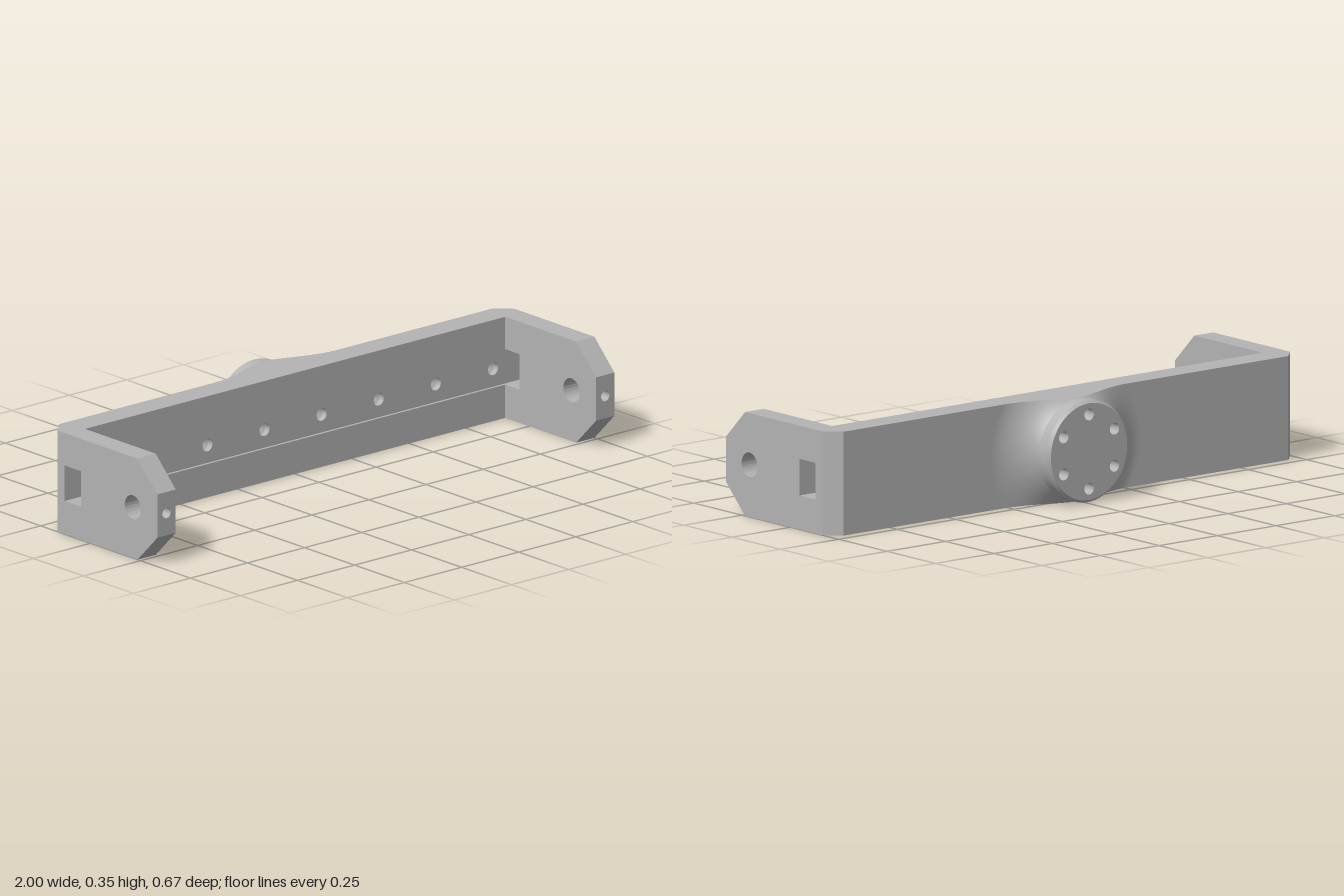
import * as THREE from 'three';
import { mergeGeometries, toCreasedNormals } from 'three/addons/utils/BufferGeometryUtils.js';

const grey = new THREE.MeshStandardMaterial({ color: 0xb4b4b4, side: THREE.DoubleSide });
grey.name = 'grey metal';

const H = 0.35, MID = 0.175;

function polygon(points) {
  return new THREE.Shape(points.map(([x, y]) => new THREE.Vector2(x, y)));
}

function circle(x, y, r) {
  return new THREE.Path().absarc(x, y, r, 0, Math.PI * 2, true);
}

function rect(x0, y0, x1, y1) {
  return polygon([[x0, y0], [x1, y0], [x1, y1], [x0, y1]]);
}

function extrude(shape, depth) {
  return new THREE.ExtrudeGeometry(shape, { depth, bevelEnabled: false, curveSegments: 24 });
}

// Removes the triangles whose three corners all meet the test
function dropFaces(geometry, test) {
  const p = geometry.attributes.position, kept = [];
  for (let i = 0; i < p.count; i += 3) {
    if ([i, i + 1, i + 2].every(k => test(p.getZ(k)))) continue;
    for (let k = i; k < i + 3; k++) kept.push(p.getX(k), p.getY(k), p.getZ(k));
  }
  const g = new THREE.BufferGeometry();
  g.setAttribute('position', new THREE.Float32BufferAttribute(kept, 3));
  g.computeVertexNormals();
  return toCreasedNormals(g, 0.5);
}

// Blind drilled hole with a conical floor; dir is -1 to go towards -z, 1 towards +z
function drill(r, depth, dir) {
  const tip = r * 0.6;
  const wall = new THREE.CylinderGeometry(r, r, depth, 24, 1, true).translate(0, -depth / 2, 0);
  const floor = new THREE.ConeGeometry(r, tip, 24, 1, true).rotateX(Math.PI).translate(0, -depth - tip / 2, 0);
  return mergeGeometries([wall, floor]).rotateX(-dir * Math.PI / 2);
}

// Concave flare profile: z of the back surface at distance r from the boss axis
const BOSS_R = 0.172, FLARE_R = 0.32, ARC = 0.1915;
function flareZ(r) {
  const d = Math.max(0, FLARE_R - r);
  return -0.215 - (ARC - Math.sqrt(ARC * ARC - d * d));
}

// Flare around the boss, cut off flush with the top and bottom of the bar
function flareSurface() {
  const N = 128, M = 16, pos = [], nor = [], idx = [];
  for (let i = 0; i <= N; i++) {
    const a = i / N * Math.PI * 2, c = Math.cos(a), s = Math.sin(a);
    const rMax = Math.min(FLARE_R, MID / Math.max(Math.abs(s), 1e-6));
    for (let j = 0; j <= M; j++) {
      const r = BOSS_R + (rMax - BOSS_R) * j / M;
      pos.push(r * c, MID + r * s, flareZ(r));
      const d = (FLARE_R - r) / ARC;
      nor.push(c * d, s * d, -Math.sqrt(1 - d * d));
      if (i < N && j < M) {
        const k = i * (M + 1) + j, n = k + M + 1;
        idx.push(k, n, k + 1, n, n + 1, k + 1);
      }
    }
  }
  const g = new THREE.BufferGeometry();
  g.setAttribute('position', new THREE.Float32BufferAttribute(pos, 3));
  g.setAttribute('normal', new THREE.Float32BufferAttribute(nor, 3));
  g.setIndex(idx);
  return g;
}

export function createModel() {
  const model = new THREE.Group();
  model.name = 'bracket';
  const add = (name, geometry, x = 0, y = 0, z = 0) => {
    const mesh = new THREE.Mesh(geometry, grey);
    mesh.name = name;
    mesh.position.set(x, y, z);
    model.add(mesh);
    return mesh;
  };

  // Back of the crossbar, with chamfered outer corners
  const back = polygon([[-1, -0.165], [-0.95, -0.215], [0.95, -0.215], [1, -0.165]]);
  add('crossbarBack', extrude(back, H).rotateX(Math.PI / 2), 0, H, 0);

  // Front of the crossbar: a shallow groove with a row of drilled holes
  const plate = rect(-0.92, 0, 0.92, H);
  for (let i = 0; i < 8; i++) {
    const x = -0.875 + i * 0.25;
    plate.holes.push(circle(x, 0.177, 0.022));
    add('grooveHole', drill(0.022, 0.021, -1), x, 0.177, -0.13);
  }
  add('crossbarFront', toCreasedNormals(extrude(plate, 0.035), 0.5), 0, 0, -0.165);
  for (const [y0, y1] of [[0, 0.115], [0.238, H]]) {
    add('grooveRail', new THREE.BoxGeometry(1.84, y1 - y0, 0.01), 0, (y0 + y1) / 2, -0.125);
  }

  // Side arms with a round pivot hole, a rectangular slot and a screw hole in the tip
  const arm = polygon([[-0.165, 0], [0.235, 0], [0.335, 0.1], [0.335, 0.25], [0.235, H], [-0.165, H]]);
  arm.holes.push(circle(0.212, 0.176, 0.041), rect(-0.13, 0.115, -0.048, 0.238));
  const armGeometry = dropFaces(extrude(arm, 0.08).rotateY(-Math.PI / 2), z => z > 0.334);
  const tip = rect(-0.04, 0.1, 0.04, 0.25);
  tip.holes.push(circle(0, 0.177, 0.018));
  for (const side of [-1, 1]) {
    add('arm', armGeometry, side > 0 ? 1 : -0.92, 0, 0);
    add('armTip', new THREE.ShapeGeometry(tip, 24), side * 0.96, 0, 0.335);
    add('armTipHole', drill(0.018, 0.07, -1), side * 0.96, 0.177, 0.335);
  }

  // Flare blending the crossbar into the round boss
  add('flare', flareSurface());
  const bell = [];
  for (let i = 0; i <= 48; i++) {
    const x = -0.268 + 0.536 * i / 48;
    bell.push([x, flareZ(Math.hypot(x, MID))]);
  }
  for (const y of [0, H]) {
    const cap = new THREE.ShapeGeometry(polygon(bell)).rotateX(y ? -Math.PI / 2 : Math.PI / 2);
    if (y) cap.scale(1, 1, -1);
    // Mirroring reverses the corners, so restore their order
    if (y) cap.setIndex([...cap.index.array].reverse());
    add('flareCap', cap, 0, y, 0);
  }

  // Round boss with a chamfered rim and six bolt holes
  const turn = g => g.rotateX(-Math.PI / 2);
  add('bossWall', turn(new THREE.CylinderGeometry(BOSS_R, BOSS_R, 0.042, 64, 1, true)), 0, MID, -0.304);
  add('bossChamfer', turn(new THREE.CylinderGeometry(0.163, BOSS_R, 0.01, 64, 1, true)), 0, MID, -0.33);
  const face = new THREE.Shape().absarc(0, 0, 0.163, 0, Math.PI * 2);
  for (let i = 0; i < 6; i++) {
    const a = Math.PI / 2 + i * Math.PI / 3, x = 0.125 * Math.cos(a), y = 0.125 * Math.sin(a);
    face.holes.push(circle(x, y, 0.02));
    add('bossHole', drill(0.02, 0.06, 1), x, MID + y, -0.335);
  }
  add('bossFace', new THREE.ShapeGeometry(face, 32).rotateY(Math.PI), 0, MID, -0.335);
  return model;
}
